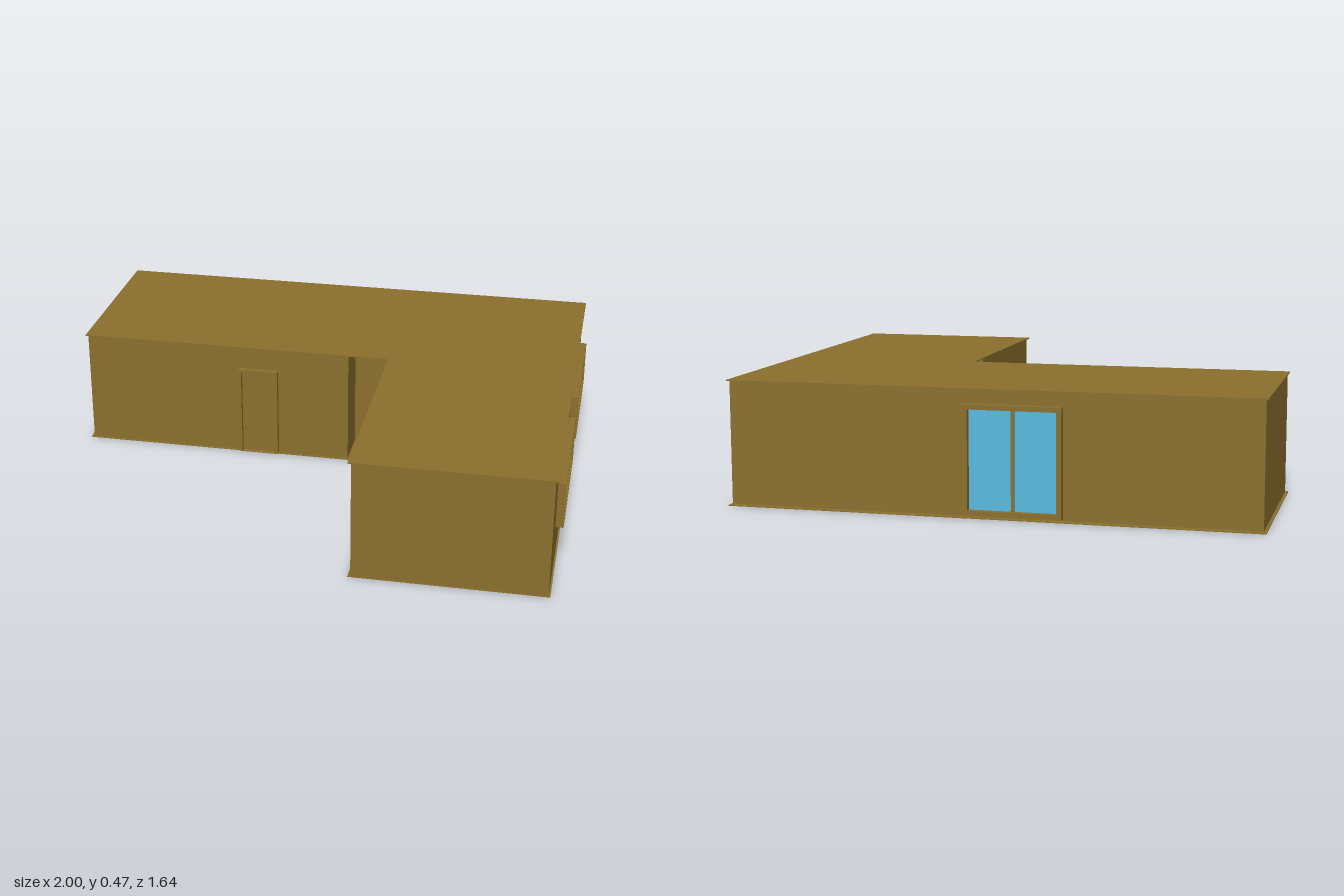
import * as THREE from 'three';

const brown = new THREE.MeshStandardMaterial({ color: 0x8b702d });
const blue = new THREE.MeshStandardMaterial({ color: 0x57badf });

// Upright prism from a plan outline given as [x, z] corners
function slab(name, plan, y, height) {
  const shape = new THREE.Shape(plan.map(([x, z]) => new THREE.Vector2(x, -z)));
  const geometry = new THREE.ExtrudeGeometry(shape, { depth: height, bevelEnabled: false });
  geometry.rotateX(-Math.PI / 2);
  const mesh = new THREE.Mesh(geometry, brown);
  mesh.name = name;
  mesh.position.y = y;
  return mesh;
}

// L-shaped plan: back wing along x, side wing along z
function lPlan(left, right, back, front, innerX, innerZ) {
  return [[left, innerZ], [innerX, innerZ], [innerX, front], [right, front], [right, back], [left, back]];
}

function box(name, w, h, d, x, y, z, material) {
  const mesh = new THREE.Mesh(new THREE.BoxGeometry(w, h, d), material);
  mesh.name = name;
  mesh.position.set(x, y, z);
  return mesh;
}

// Framed opening facing +z, its back on z = 0 and its base on y = 0
function framed(name, w, h, depth, bar, panelMaterial, panelName, { sill = true, divider = false } = {}) {
  const group = new THREE.Group();
  group.name = name;
  const outline = new THREE.Shape([[-w / 2, 0], [w / 2, 0], [w / 2, h], [-w / 2, h]].map(p => new THREE.Vector2(...p)));
  const low = sill ? bar : 0.002;
  const x = w / 2 - bar;
  outline.holes.push(new THREE.Path([[-x, low], [-x, h - bar], [x, h - bar], [x, low]].map(p => new THREE.Vector2(...p))));
  const frame = new THREE.Mesh(new THREE.ExtrudeGeometry(outline, { depth, bevelEnabled: false }), brown);
  frame.name = name + 'Frame';
  group.add(frame);
  const thin = 0.004;
  group.add(box(panelName, 2 * x, h - bar - low, thin, 0, (h - bar + low) / 2, thin / 2, panelMaterial));
  if (divider) group.add(box('divider', 0.012, h - bar - low, 0.012, 0, (h - bar + low) / 2, 0.006, brown));
  return group;
}

export function createModel() {
  const model = new THREE.Group();
  model.name = 'house';

  // Walls, with a square entrance recess cut into the inner corner
  model.add(slab('walls', [
    [-0.987, -0.08], [0.088, -0.08], [0.088, -0.245], [0.43, -0.245], [0.43, 0.095], [0.26, 0.095],
    [0.26, 0.815], [0.971, 0.815], [0.971, -0.793], [-0.987, -0.793],
  ], 0.002, 0.46));

  // Thin floor and roof sheets, slightly wider than the walls
  model.add(slab('floor', lPlan(-0.998, 0.977, -0.82, 0.818, 0.25, -0.072), 0, 0.003));
  model.add(slab('roof', lPlan(-0.995, 0.981, -0.802, 0.82, 0.248, -0.07), 0.461, 0.004));

  // Two windows on the left side wall
  for (const z of [0.367, -0.348]) {
    const window = framed('window', 0.535, 0.178, 0.029, 0.01, blue, 'glass');
    window.rotation.y = Math.PI / 2;
    window.position.set(0.971, 0.182, z);
    model.add(window);
  }

  // Glazed double door at the back
  const patio = framed('patioDoor', 0.36, 0.4, 0.027, 0.018, blue, 'glass', { divider: true });
  patio.rotation.y = Math.PI;
  patio.position.set(-0.1, 0.01, -0.793);
  model.add(patio);

  // Plain front door
  const door = framed('frontDoor', 0.16, 0.365, 0.022, 0.012, brown, 'doorPanel', { sill: false });
  door.position.set(-0.278, 0.005, -0.08);
  model.add(door);

  return model;
}
